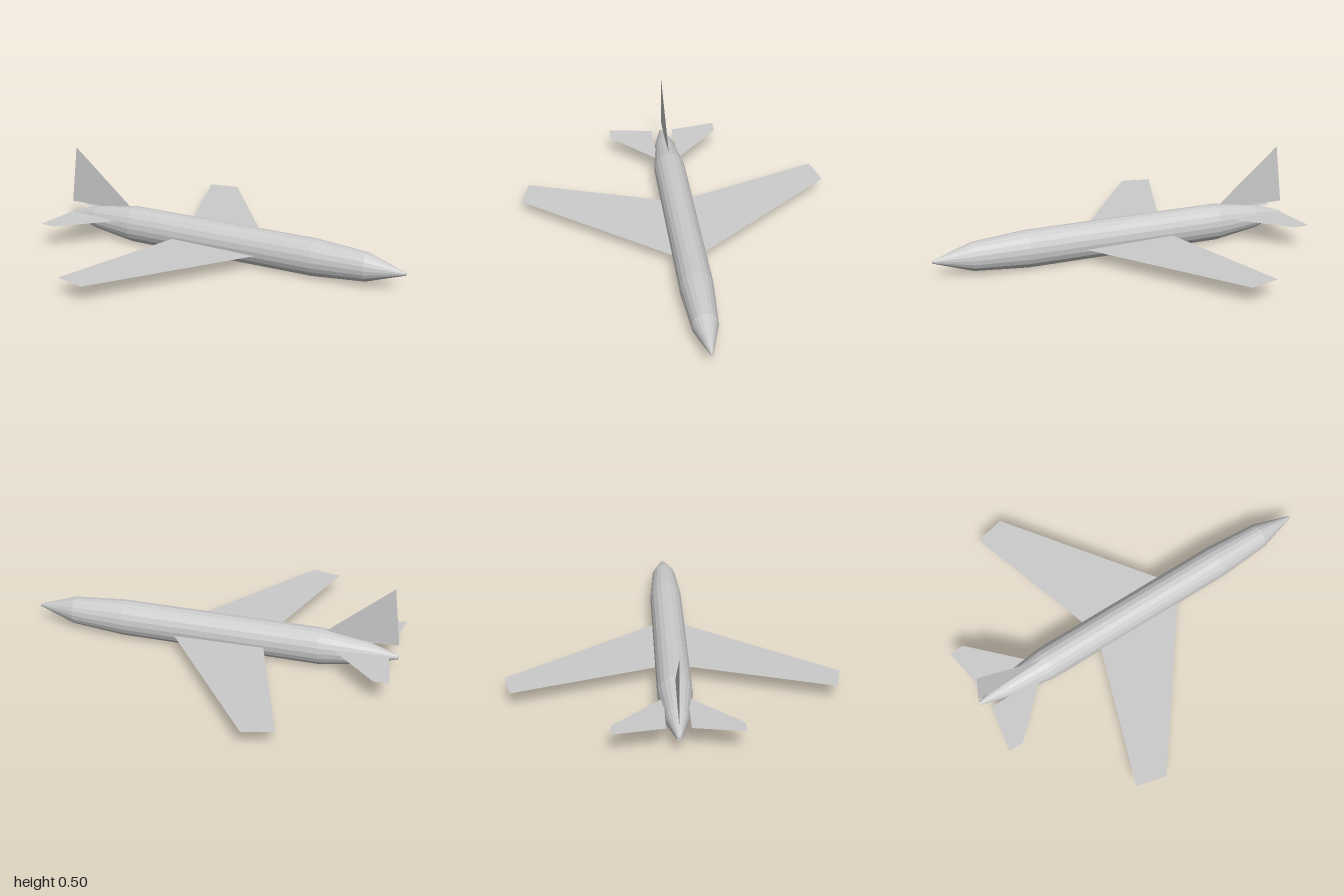
import * as THREE from 'three';

const bodyMaterial = new THREE.MeshStandardMaterial({ color: 0xcccccc, flatShading: true });
const sheetMaterial = new THREE.MeshStandardMaterial({ color: 0xcccccc, side: THREE.DoubleSide });

// Flat sheet from an outline in its own plane
function sheet(name, outline) {
  const shape = new THREE.Shape(outline.map(([x, y]) => new THREE.Vector2(x, y)));
  const mesh = new THREE.Mesh(new THREE.ShapeGeometry(shape), sheetMaterial);
  mesh.name = name;
  return mesh;
}

// Horizontal sheet with outline in x, z; its height changes slightly along x
function horizontalSheet(name, outline, side, y0, slope) {
  const mesh = sheet(name, outline.map(([x, z]) => [x, z * side]));
  mesh.geometry.rotateX(Math.PI / 2);
  const pos = mesh.geometry.attributes.position;
  for (let i = 0; i < pos.count; i++) pos.setY(i, y0 + slope * pos.getX(i));
  mesh.geometry.computeVertexNormals();
  return mesh;
}

export function createModel() {
  const group = new THREE.Group();
  group.name = 'aeroplane';

  // Fuselage: profile of radius and station, tail to nose, slightly narrowed
  const profile = [
    [0, -1], [0.012, -1], [0.065, -0.83], [0.101, -0.59],
    [0.101, 0.5], [0.077, 0.79], [0.007, 1], [0, 1],
  ].map(([r, x]) => new THREE.Vector2(r, x));
  const bodyGeometry = new THREE.LatheGeometry(profile, 20);
  bodyGeometry.rotateZ(-Math.PI / 2);
  bodyGeometry.scale(1, 1, 0.875);
  const fuselage = new THREE.Mesh(bodyGeometry, bodyMaterial);
  fuselage.name = 'fuselage';
  fuselage.position.y = 0.101;
  group.add(fuselage);

  // Swept wings and tailplanes, mirrored in z
  const wing = [[0.195, 0.082], [-0.38, 0.856], [-0.54, 0.817], [-0.3, 0.082]];
  const tailplane = [[-0.665, 0.06], [-0.92, 0.315], [-1, 0.315], [-0.96, 0.06]];
  for (const side of [1, -1]) {
    const label = side > 0 ? 'front' : 'back';
    group.add(horizontalSheet(label + 'Wing', wing, side, 0.084, -0.02));
    group.add(horizontalSheet(label + 'Tailplane', tailplane, side, 0.099, -0.036));
  }

  // Upright tail fin
  group.add(sheet('tailFin', [[-0.585, 0.17], [-0.96, 0.495], [-1, 0.17]]));

  return group;
}
